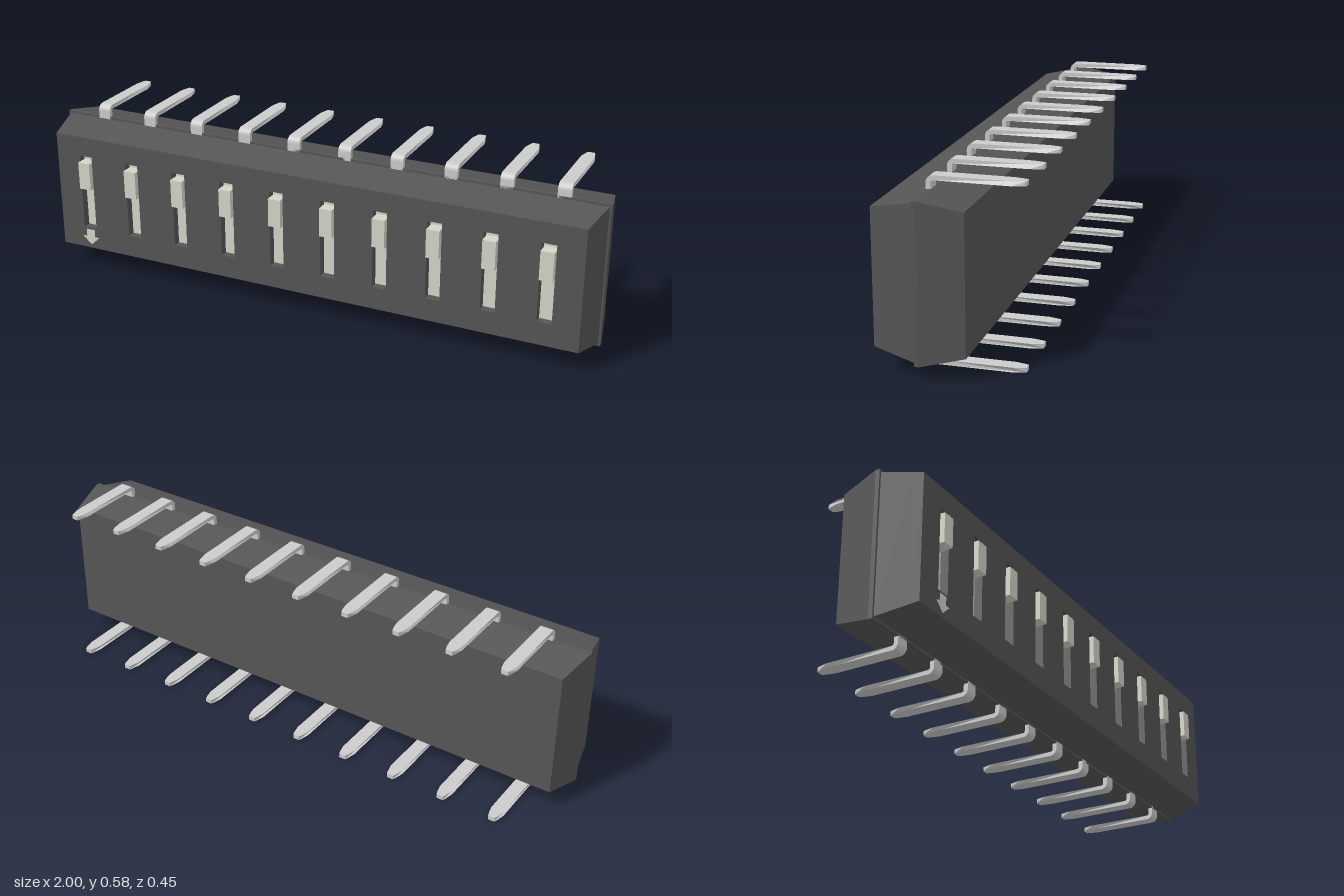
import * as THREE from 'three';

const COUNT = 10, PITCH = 0.1885, MID_Y = 0.29;
const FRONT_Z = 0.21, SLOT_Z = 0.18, SEAM_Z = 0.075, BAND_Z = 0.06, BACK_Z = -0.073;

const material = (color) => new THREE.MeshStandardMaterial({ color, flatShading: true });

function rectPath(path, x0, x1, y0, y1) {
  path.moveTo(x0, y0);
  path.lineTo(x1, y0);
  path.lineTo(x1, y1);
  path.lineTo(x0, y1);
  path.closePath();
  return path;
}

// Rectangular block whose front and back faces differ in half width and half height
function taperedBlock(front, back, zFront, zBack) {
  const geo = new THREE.BoxGeometry(2, 2, 2);
  const p = geo.attributes.position;
  for (let i = 0; i < p.count; i++) {
    const isFront = p.getZ(i) > 0;
    const [w, h] = isFront ? front : back;
    p.setXYZ(i, p.getX(i) * w, MID_Y + p.getY(i) * h, isFront ? zFront : zBack);
  }
  geo.computeVertexNormals();
  return geo;
}

// Front plate with switch slots, its outer edge flared to follow the bevel
function facePlate(front, back, xs) {
  const [w, h] = front;
  const shape = rectPath(new THREE.Shape(), -w, w, MID_Y - h, MID_Y + h);
  for (const x of xs) {
    shape.holes.push(rectPath(new THREE.Path(), x - 0.025, x + 0.025, 0.157, 0.432));
  }
  const geo = new THREE.ExtrudeGeometry(shape, { depth: FRONT_Z - SLOT_Z, bevelEnabled: false });
  geo.translate(0, 0, SLOT_Z);
  const p = geo.attributes.position;
  for (let i = 0; i < p.count; i++) {
    if (Math.abs(p.getX(i)) > w - 0.01 && p.getZ(i) < FRONT_Z - 0.01) {
      p.setX(i, Math.sign(p.getX(i)) * back[0]);
      p.setY(i, MID_Y + Math.sign(p.getY(i) - MID_Y) * back[1]);
    }
  }
  geo.computeVertexNormals();
  return geo;
}

// Bent flat pin: side profile (horizontal axis is -z) extruded across its width
function pinGeometry() {
  const top = 0.58, t = 0.015, tip = 0.222, neck = 0.18, f = -SEAM_Z, r = 0.022;
  const s = new THREE.Shape();
  s.moveTo(f, 0.5);
  s.lineTo(f + t, 0.5);
  s.lineTo(f + t, top - r);
  s.absarc(f + r, top - r, r - t, Math.PI, Math.PI / 2, true);
  s.lineTo(neck, top - t);
  s.lineTo(0.21, top - t);
  s.lineTo(tip, top - t);
  s.lineTo(tip, top);
  s.lineTo(0.21, top);
  s.lineTo(neck, top);
  s.lineTo(f + r, top);
  s.absarc(f + r, top - r, r, Math.PI / 2, Math.PI, false);
  s.closePath();
  const geo = new THREE.ExtrudeGeometry(s, { depth: 0.045, bevelEnabled: false, curveSegments: 6 });
  geo.translate(0, 0, -0.0225);
  geo.rotateY(Math.PI / 2);
  // Narrow the tip
  const p = geo.attributes.position;
  for (let i = 0; i < p.count; i++) {
    const z = p.getZ(i);
    if (z < -0.215) p.setX(i, p.getX(i) * 0.5);
    else if (z < -0.2) p.setX(i, p.getX(i) * 0.7);
  }
  geo.computeVertexNormals();
  return geo;
}

export function createModel() {
  const model = new THREE.Group();
  const dark = material(0x555555), metal = material(0xcccccc), ivory = material(0xd4d4c8);
  const xs = Array.from({ length: COUNT }, (_, i) => (i - (COUNT - 1) / 2) * PITCH);

  const add = (name, geo, mat, parent = model) => {
    const mesh = new THREE.Mesh(geo, mat);
    mesh.name = name;
    parent.add(mesh);
    return mesh;
  };

  // Housing
  const face = [0.965, 0.213], seam = [0.993, 0.24], rim = [1, 0.248], rear = [0.973, 0.219];
  const k = (FRONT_Z - SLOT_Z) / (FRONT_Z - SEAM_Z);
  const slotEdge = face.map((v, i) => v + (seam[i] - v) * k);
  const housing = new THREE.Group();
  housing.name = 'housing';
  model.add(housing);
  add('facePlate', facePlate(face, slotEdge, xs), dark, housing);
  add('frontHousing', taperedBlock(slotEdge, seam, SLOT_Z, SEAM_Z), dark, housing);
  add('rimBand', taperedBlock(rim, rim, SEAM_Z, BAND_Z), dark, housing);
  add('rearHousing', taperedBlock(rim, rear, BAND_Z, BACK_Z), dark, housing);

  // Switches and pins
  const baseGeo = new THREE.BoxGeometry(0.05, 0.275, 0.012);
  const knobGeo = new THREE.BoxGeometry(0.045, 0.1, 0.225 - SLOT_Z);
  const pinGeo = pinGeometry();
  for (const x of xs) {
    const slider = new THREE.Group();
    slider.name = 'slider';
    slider.position.x = x;
    model.add(slider);
    add('sliderBase', baseGeo, ivory, slider).position.set(0, 0.2945, 0.176);
    add('sliderKnob', knobGeo, ivory, slider).position.set(0, 0.361, (0.225 + SLOT_Z) / 2);

    add('upperPin', pinGeo, metal).position.x = x;
    const lower = add('lowerPin', pinGeo, metal);
    lower.position.set(x, 2 * MID_Y, 0);
    lower.rotation.z = Math.PI;
  }

  // Direction arrow under the first switch
  const arrow = new THREE.Shape([
    [-0.017, 0.15], [-0.017, 0.122], [-0.035, 0.122], [0, 0.09],
    [0.035, 0.122], [0.017, 0.122], [0.017, 0.15],
  ].map(([x, y]) => new THREE.Vector2(x, y)));
  add('arrowMark', new THREE.ShapeGeometry(arrow), ivory).position.set(xs[0], 0, FRONT_Z + 0.001);

  return model;
}
